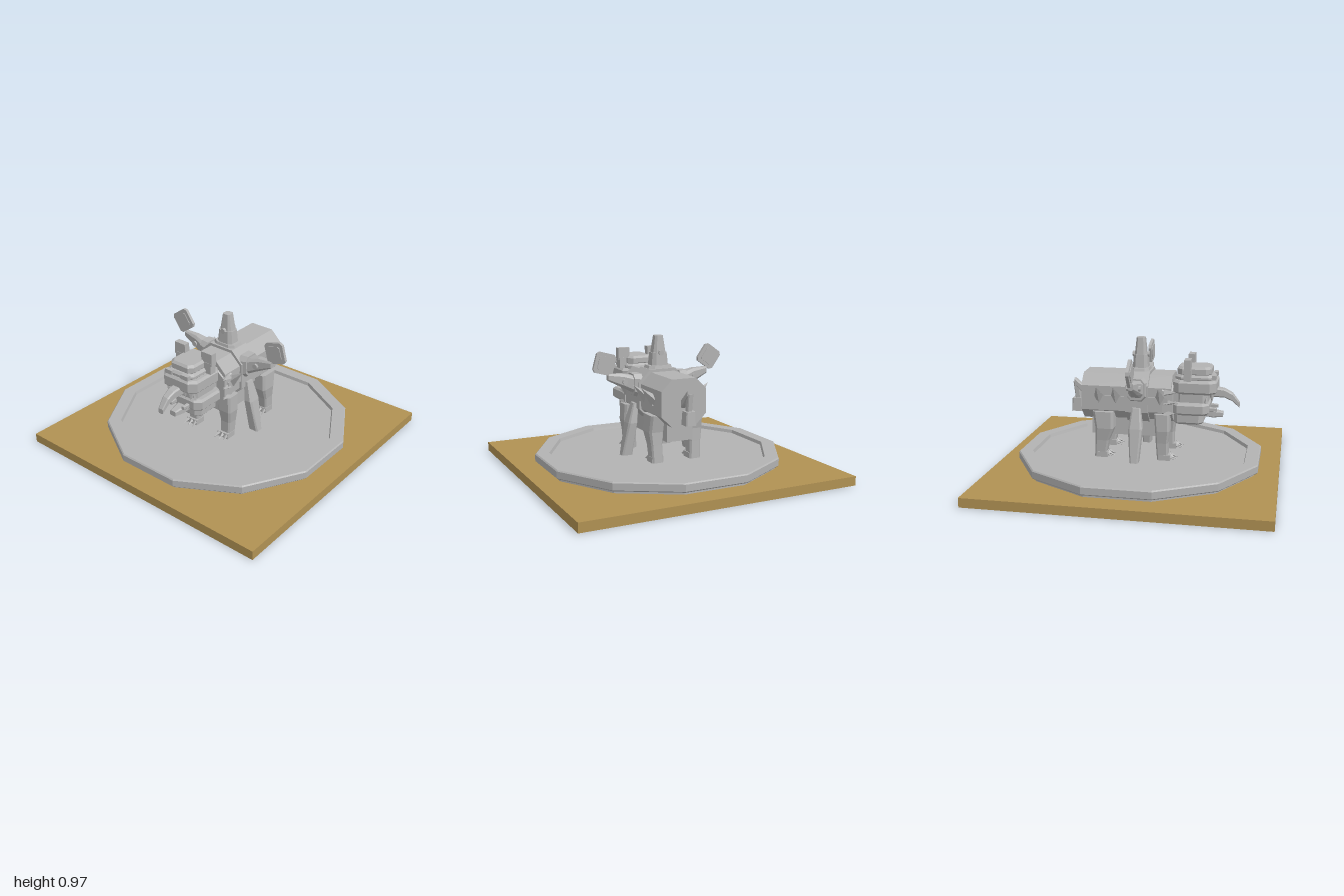
import * as THREE from 'three';
import { ConvexGeometry } from 'three/addons/geometries/ConvexGeometry.js';
import { mergeGeometries } from 'three/addons/utils/BufferGeometryUtils.js';

const stone = new THREE.MeshStandardMaterial({ color: 0xb2b2b2 });
stone.name = 'stone grey';
const wood = new THREE.MeshStandardMaterial({ color: 0xb09153 });
wood.name = 'wood tan';

// Flat-faceted mesh
function add(parent, name, geometry, material = stone) {
  const g = geometry.index ? geometry.toNonIndexed() : geometry;
  g.computeVertexNormals();
  const mesh = new THREE.Mesh(g, material);
  mesh.name = name;
  parent.add(mesh);
  return mesh;
}

// Corner-cut rectangle placed across an axis.
// Section: [position on axis, centre u, centre v, half u, half v]; (u, v) are the other axes in x, y, z order.
function ring(axis, [a, cu, cv, hu, hv], cut, side) {
  const pts = [];
  for (const su of [-1, 1]) for (const sv of [-1, 1]) {
    for (const [ku, kv] of [[1 - cut, 1], [1, 1 - cut]]) {
      const u = cu + su * hu * ku, v = cv + sv * hv * kv;
      const p = axis === 'x' ? [a, u, v] : axis === 'y' ? [u, a, v] : [u, v, a];
      pts.push(new THREE.Vector3(p[0] * side, p[1], p[2]));
    }
  }
  return pts;
}

// Solid through successive sections; side = -1 mirrors it across x
function loft(parent, name, axis, sections, cut = 0.3, side = 1) {
  const pieces = [];
  for (let i = 0; i + 1 < sections.length; i++) {
    pieces.push(new ConvexGeometry([
      ...ring(axis, sections[i], cut, side),
      ...ring(axis, sections[i + 1], cut, side),
    ]));
  }
  return add(parent, name, mergeGeometries(pieces));
}

function box(parent, name, x, y, z, w, h, d, material = stone) {
  const mesh = add(parent, name, new THREE.BoxGeometry(w, h, d), material);
  mesh.position.set(x, y, z);
  return mesh;
}

// Block with bevelled top and bottom edges and rounded corners in plan
function bevelBlock(parent, name, y0, y1, z0, z1, hx, b = 0.015, cut = 0.3) {
  const cz = (z0 + z1) / 2, hz = (z1 - z0) / 2;
  loft(parent, name, 'y', [
    [y0, 0, cz, hx - b, hz - b], [y0 + b, 0, cz, hx, hz],
    [y1 - b, 0, cz, hx, hz], [y1, 0, cz, hx - b, hz - b],
  ], cut);
}

// Cone between two points
function spike(parent, name, from, to, radius, sides = 4) {
  const a = new THREE.Vector3(...from), b = new THREE.Vector3(...to);
  const dir = b.clone().sub(a);
  const mesh = add(parent, name, new THREE.ConeGeometry(radius, dir.length(), sides));
  mesh.position.copy(a).add(b).multiplyScalar(0.5);
  mesh.quaternion.setFromUnitVectors(new THREE.Vector3(0, 1, 0), dir.normalize());
}

function buildBase(root) {
  const base = new THREE.Group();
  base.name = 'base';
  root.add(base);
  box(base, 'groundBoard', 0, 0.0335, 0, 2, 0.065, 2, wood);
  // Twelve-sided dish with a low rim; apothems are turned into corner radii
  const k = 1 / Math.cos(Math.PI / 12);
  const profile = [
    [0, 0], [0.83, 0], [0.83, 0.085], [0.85, 0.085], [0.858, 0.093],
    [0.858, 0.14], [0.85, 0.148], [0.762, 0.148], [0.755, 0.125], [0, 0.125],
  ].map(([r, y]) => new THREE.Vector2(r * k, y));
  add(base, 'dish', new THREE.LatheGeometry(profile, 12, Math.PI / 12));
}

function buildTorso(beast) {
  loft(beast, 'torso', 'z', [[-0.4, 0, 0.555, 0.17, 0.165], [0.24, 0, 0.555, 0.17, 0.165]], 0.47);
  box(beast, 'belly', 0, 0.35, -0.09, 0.2, 0.15, 0.5);
  loft(beast, 'saddleBand', 'z', [[-0.08, 0, 0.56, 0.185, 0.18], [0.08, 0, 0.56, 0.185, 0.18]], 0.47);
  loft(beast, 'chestCollar', 'z', [[0.18, 0, 0.55, 0.18, 0.15], [0.25, 0, 0.53, 0.17, 0.14]], 0.47);
  // Spire on the back
  loft(beast, 'spireFoot', 'y', [[0.72, 0, 0, 0.1, 0.07], [0.76, 0, 0, 0.085, 0.062]], 0.4);
  loft(beast, 'spireTower', 'y', [[0.75, 0, 0, 0.065, 0.055], [0.85, 0, 0, 0.055, 0.048]], 0.4);
  loft(beast, 'spire', 'y', [[0.85, 0, 0, 0.048, 0.042], [0.97, 0, 0, 0.03, 0.03]], 0.4);
  const boss = add(beast, 'spireBoss', new THREE.CylinderGeometry(0.02, 0.02, 0.12, 8));
  boss.rotation.x = Math.PI / 2;
  boss.position.set(0, 0.85, 0);
  // Tail rises, then hangs down to a block
  loft(beast, 'tail', 'z', [[-0.39, 0, 0.54, 0.025, 0.03], [-0.44, 0, 0.585, 0.025, 0.03], [-0.49, 0, 0.635, 0.025, 0.022]]);
  loft(beast, 'tailDrop', 'y', [[0.63, 0, -0.48, 0.02, 0.02], [0.5, 0, -0.465, 0.018, 0.02]]);
  loft(beast, 'tailClub', 'y', [[0.51, 0, -0.47, 0.035, 0.035], [0.415, 0, -0.47, 0.04, 0.04]], 0.2);
}

function buildSide(beast, s) {
  // Flank strip and spikes
  box(beast, 'flankStrip', s * 0.172, 0.55, -0.03, 0.02, 0.05, 0.5);
  for (const z of [0.165, -0.15, -0.27]) {
    spike(beast, 'flankSpike', [s * 0.155, 0.555, z], [s * 0.26, 0.655, z], 0.042);
  }
  for (const y of [0.46, 0.54, 0.61]) {
    spike(beast, 'collarSpike', [s * 0.16, y, 0.2], [s * 0.185, y + 0.01, 0.28], 0.03);
  }
  // Front and rear legs with clawed feet
  loft(beast, 'frontLeg', 'y', [
    [0.46, s * 0.145, 0.18, 0.055, 0.055], [0.34, s * 0.15, 0.185, 0.055, 0.05],
    [0.25, s * 0.15, 0.18, 0.042, 0.042], [0.125, s * 0.145, 0.185, 0.04, 0.038],
  ], 0.25);
  loft(beast, 'rearLeg', 'y', [
    [0.46, s * 0.145, -0.24, 0.055, 0.075], [0.34, s * 0.15, -0.23, 0.055, 0.065],
    [0.25, s * 0.15, -0.25, 0.042, 0.048], [0.125, s * 0.145, -0.265, 0.04, 0.04],
  ], 0.25);
  for (const z of [0.2, -0.25]) {
    box(beast, 'foot', s * 0.145, 0.145, z, 0.09, 0.04, 0.08);
    for (const dx of [-0.03, 0, 0.03]) {
      spike(beast, 'claw', [s * 0.145 + dx, 0.155, z + 0.03], [s * 0.145 + dx * 1.4, 0.13, z + 0.085], 0.016);
    }
  }
  // Splayed strut under the saddle
  loft(beast, 'sideStrut', 'y', [
    [0.5, 0.185, 0, 0.02, 0.03], [0.36, 0.215, 0, 0.035, 0.05],
    [0.125, 0.255, 0, 0.04, 0.03],
  ], 0.3, s);
  // Shoulder arm
  loft(beast, 'shoulder', 'x', [[0.15, 0.62, 0, 0.09, 0.075], [0.21, 0.635, 0, 0.075, 0.062]], 0.4, s);
  loft(beast, 'arm', 'x', [[0.2, 0.635, 0, 0.062, 0.055], [0.28, 0.665, 0, 0.05, 0.035], [0.39, 0.695, 0, 0.024, 0.02]], 0.4, s);
  const pin = add(beast, 'armPin', new THREE.CylinderGeometry(0.02, 0.02, 0.1, 8));
  pin.rotation.x = Math.PI / 2;
  pin.position.set(s * 0.275, 0.66, 0);
  // Tilted paddle at the end of the arm
  const paddle = new THREE.Group();
  paddle.name = 'paddle';
  paddle.position.set(s * 0.413, 0.793, 0);
  paddle.rotation.z = s > 0 ? 0.27 : 0.62;
  loft(paddle, 'paddlePlate', 'z', [[-0.011, 0, 0, 0.075, 0.075], [0.011, 0, 0, 0.075, 0.075]], 0.25);
  loft(paddle, 'paddleFace', 'z', [[-0.016, 0, 0, 0.05, 0.05], [0.016, 0, 0, 0.05, 0.05]], 0.25);
  beast.add(paddle);
}

function buildHead(beast) {
  const head = new THREE.Group();
  head.name = 'head';
  beast.add(head);
  box(head, 'neck', 0, 0.56, 0.26, 0.2, 0.2, 0.12);
  bevelBlock(head, 'chin', 0.375, 0.46, 0.245, 0.46, 0.115);
  bevelBlock(head, 'lowerJaw', 0.45, 0.535, 0.24, 0.5, 0.155);
  bevelBlock(head, 'mouth', 0.52, 0.61, 0.26, 0.49, 0.11);
  bevelBlock(head, 'upperHead', 0.6, 0.695, 0.245, 0.55, 0.15);
  bevelBlock(head, 'brow', 0.685, 0.73, 0.26, 0.535, 0.115);
  bevelBlock(head, 'crown', 0.72, 0.785, 0.27, 0.51, 0.1);
  // Nose horn curving forward and down
  loft(head, 'noseHorn', 'z', [
    [0.52, 0, 0.6, 0.04, 0.035], [0.6, 0, 0.592, 0.033, 0.03],
    [0.655, 0, 0.565, 0.026, 0.028], [0.705, 0, 0.51, 0.02, 0.018],
  ]);
  // Tongue and teeth
  loft(head, 'tongue', 'z', [[0.45, 0, 0.455, 0.045, 0.03], [0.52, 0, 0.44, 0.038, 0.026], [0.59, 0, 0.437, 0.025, 0.018]]);
  for (const s of [-1, 1]) {
    box(head, 'ear', s * 0.118, 0.8, 0.35, 0.09, 0.09, 0.045);
    box(head, 'earRoot', s * 0.125, 0.735, 0.35, 0.06, 0.08, 0.05);
    box(head, 'browRidge', s * 0.07, 0.715, 0.53, 0.06, 0.03, 0.03);
    for (const x of [0.055, 0.1]) {
      spike(head, 'upperTooth', [s * x, 0.61, 0.515], [s * x, 0.545, 0.52], 0.02);
      spike(head, 'lowerTooth', [s * x, 0.525, 0.475], [s * x, 0.58, 0.48], 0.018);
    }
    loft(head, 'tusk', 'z', [[0.47, 0.06, 0.48, 0.016, 0.018], [0.55, 0.055, 0.48, 0.01, 0.012]], 0.3, s);
  }
}

export function createModel() {
  const root = new THREE.Group();
  root.name = 'beastOnDish';
  buildBase(root);
  const beast = new THREE.Group();
  beast.name = 'beast';
  root.add(beast);
  buildTorso(beast);
  for (const s of [-1, 1]) buildSide(beast, s);
  buildHead(beast);
  return root;
}
